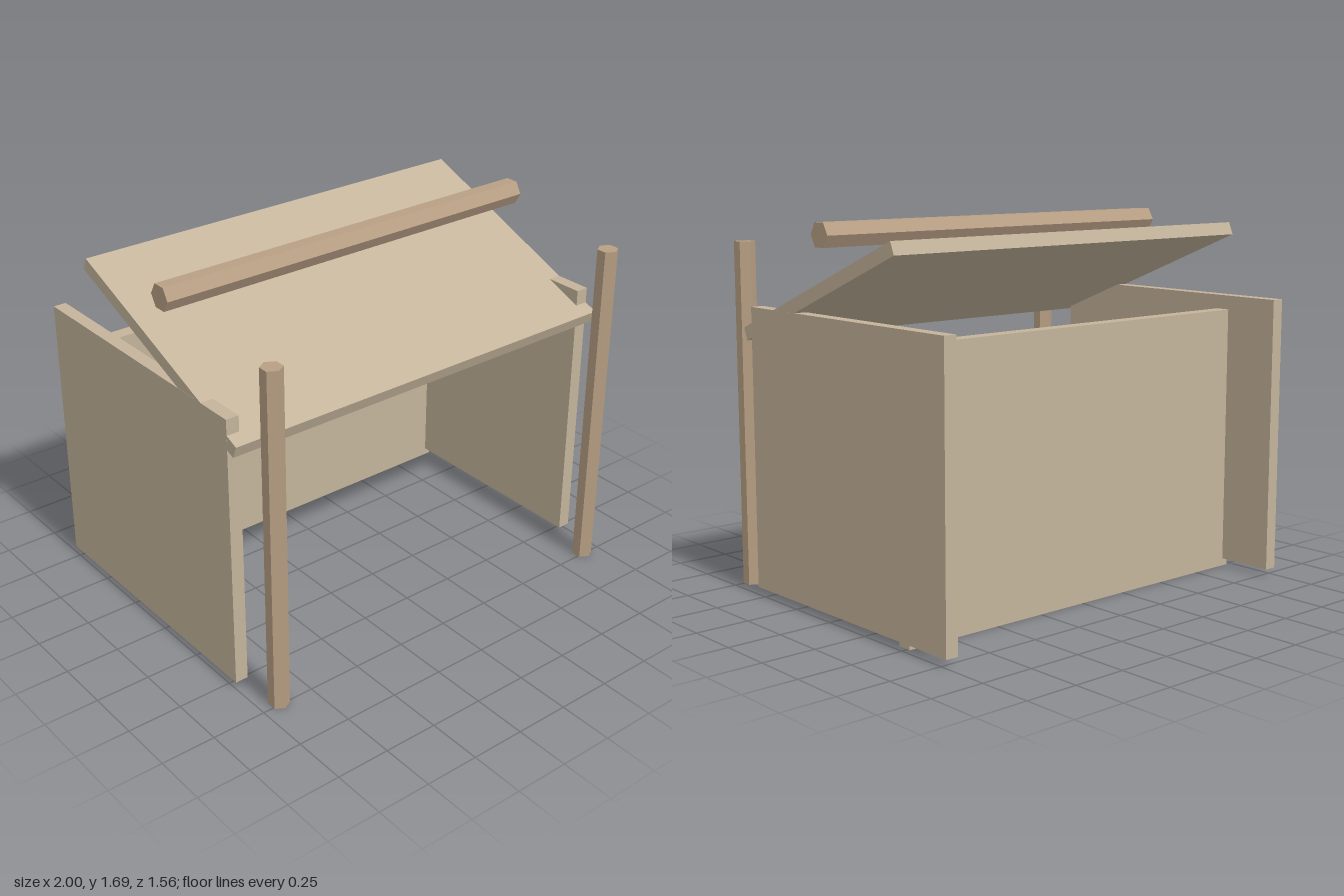
import * as THREE from 'three';

export function createModel() {
  const model = new THREE.Group();
  model.name = 'openShelter';
  const board = new THREE.MeshStandardMaterial({ color: 0xc4b49b });
  const timber = new THREE.MeshStandardMaterial({ color: 0xb89f84, flatShading: true });

  function add(name, geometry, material, x, y, z) {
    const mesh = new THREE.Mesh(geometry, material);
    mesh.name = name;
    mesh.position.set(x, y, z);
    model.add(mesh);
    return mesh;
  }

  // Mirrored side walls and free-standing hexagonal front posts
  for (const [side, s] of [['left', 1], ['right', -1]]) {
    add(side + 'Wall', new THREE.BoxGeometry(0.06, 1.27, 1.335), board, s * 0.97, 0.67, -0.115);
    add(side + 'Post', new THREE.CylinderGeometry(0.047, 0.047, 1.58, 6), timber, s * 0.91, 0.79, 0.735);
  }

  // Back wall, set in between the side walls
  add('backWall', new THREE.BoxGeometry(1.94, 1.24, 0.068), board, 0, 0.62, -0.48);

  // Sloping roof board, low at the front
  const roof = add('roof', new THREE.BoxGeometry(1.999, 0.06, 1.155), board, 0, 1.398, 0.068);
  roof.rotation.x = THREE.MathUtils.degToRad(22.1);

  // Hexagonal beam above the roof
  const beam = add('ridgeBeam', new THREE.CylinderGeometry(0.06, 0.06, 1.94, 6), timber, 0, 1.64, 0.066);
  beam.rotation.z = Math.PI / 2;

  return model;
}
